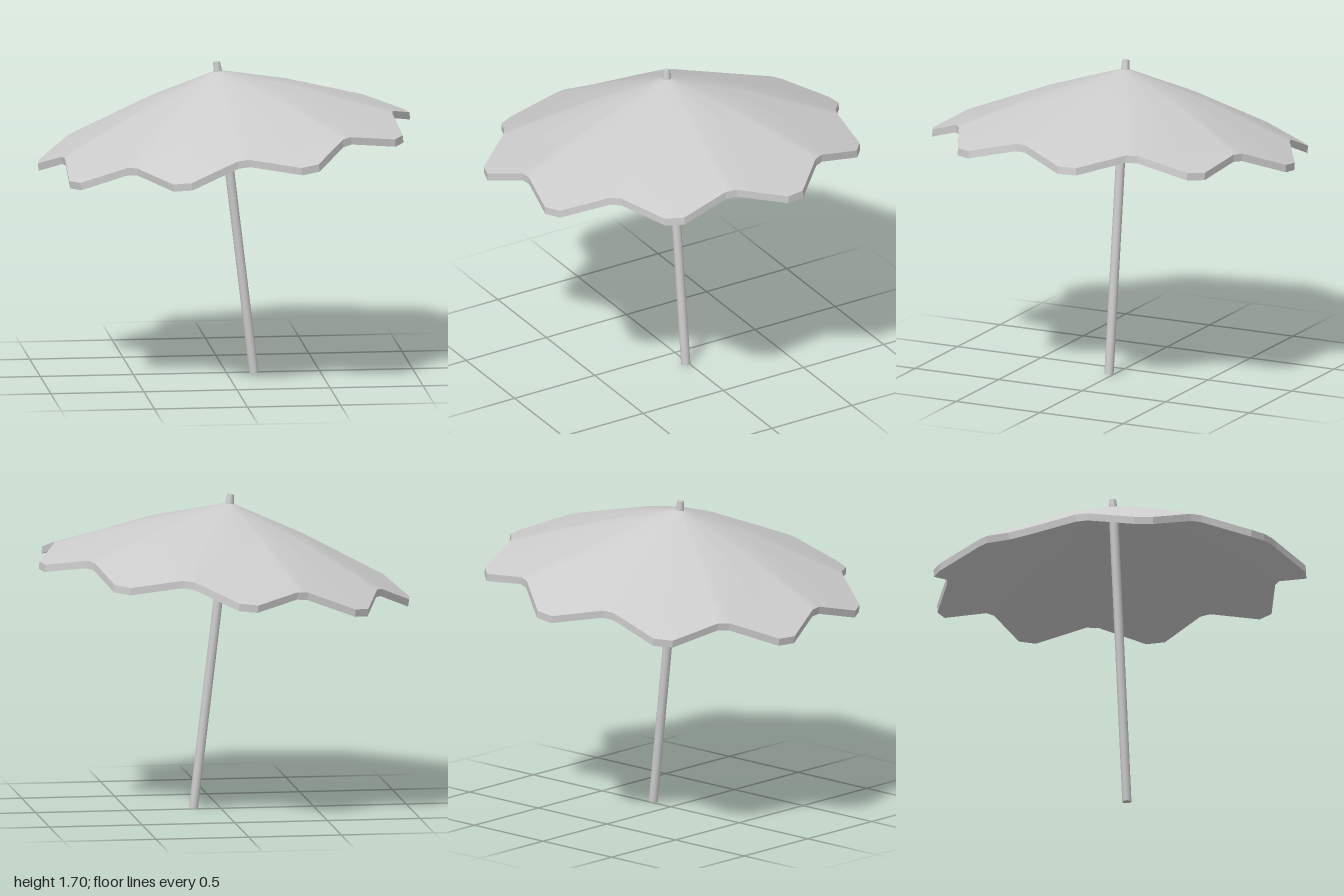
import * as THREE from 'three';

const DEG = Math.PI / 180;
const LOBES = 9;
const THICK = 0.04;

// Scalloped rim: each lobe has a blunt tip (two points) and a blunt valley (two points)
function rimPoints() {
  const points = [];
  for (let i = 0; i < LOBES; i++) {
    const tip = i * 40;
    points.push(
      { a: tip - 2.9, r: 1.013, y: -0.397 },
      { a: tip + 2.9, r: 1.013, y: -0.397 },
      { a: tip + 18, r: 0.905, y: -0.327 },
      { a: tip + 22, r: 0.905, y: -0.327 },
    );
  }
  return points;
}

const ringPoint = (a, r, y) => [r * Math.sin(a * DEG), y, -r * Math.cos(a * DEG)];

// Skin closed rings together, in order; faces point up when rings run outward
function skin(rings) {
  const n = rings[0].length;
  const index = [];
  for (let k = 0; k < rings.length - 1; k++) {
    for (let j = 0; j < n; j++) {
      const a = k * n + j, b = k * n + (j + 1) % n;
      const c = a + n, d = b + n;
      index.push(a, d, c, a, b, d);
    }
  }
  const geometry = new THREE.BufferGeometry();
  geometry.setAttribute('position', new THREE.Float32BufferAttribute(rings.flat(2), 3));
  // reversed so the outer side is the front
  for (let i = 0; i < index.length; i += 3) [index[i + 1], index[i + 2]] = [index[i + 2], index[i + 1]];
  geometry.setIndex(index);
  geometry.computeVertexNormals();
  return geometry;
}

export function createModel() {
  const model = new THREE.Group();
  model.name = 'parasol';
  const smooth = new THREE.MeshStandardMaterial({ color: 0xcccccc, side: THREE.DoubleSide });
  const flat = new THREE.MeshStandardMaterial({ color: 0xcccccc, side: THREE.DoubleSide, flatShading: true });

  // Everything is built around the canopy's peak, then tilted as one
  const tilted = new THREE.Group();
  tilted.name = 'tiltedParasol';
  tilted.position.set(-0.05, 1.65, 0.02);
  tilted.rotation.z = 6.75 * DEG;
  model.add(tilted);

  const add = (name, geometry, material, parent, y = 0) => {
    const mesh = new THREE.Mesh(geometry, material);
    mesh.name = name;
    mesh.position.y = y;
    parent.add(mesh);
  };

  // Canopy: upper cloth, lower cloth and the edge band between them
  const canopy = new THREE.Group();
  canopy.name = 'canopy';
  tilted.add(canopy);
  const rim = rimPoints();
  const rings = (drop) => [
    rim.map((p) => ringPoint(p.a, 0.004, -drop)),
    rim.map((p) => ringPoint(p.a, 0.435, -0.14 - drop)),
    rim.map((p) => ringPoint(p.a, p.r, p.y - drop)),
  ];
  const upper = rings(0), lower = rings(THICK);
  add('canopyTop', skin(upper), smooth, canopy);
  add('canopyUnderside', skin([...lower].reverse()), smooth, canopy);
  add('canopyEdge', skin([upper[2], lower[2]]), flat, canopy);

  // Pole and the small tapered finial on the peak
  add('pole', new THREE.CylinderGeometry(0.025, 0.025, 1.64, 12), smooth, tilted, -0.838);
  add('finial', new THREE.CylinderGeometry(0.018, 0.026, 0.075, 12), smooth, tilted, 0.0075);

  return model;
}
